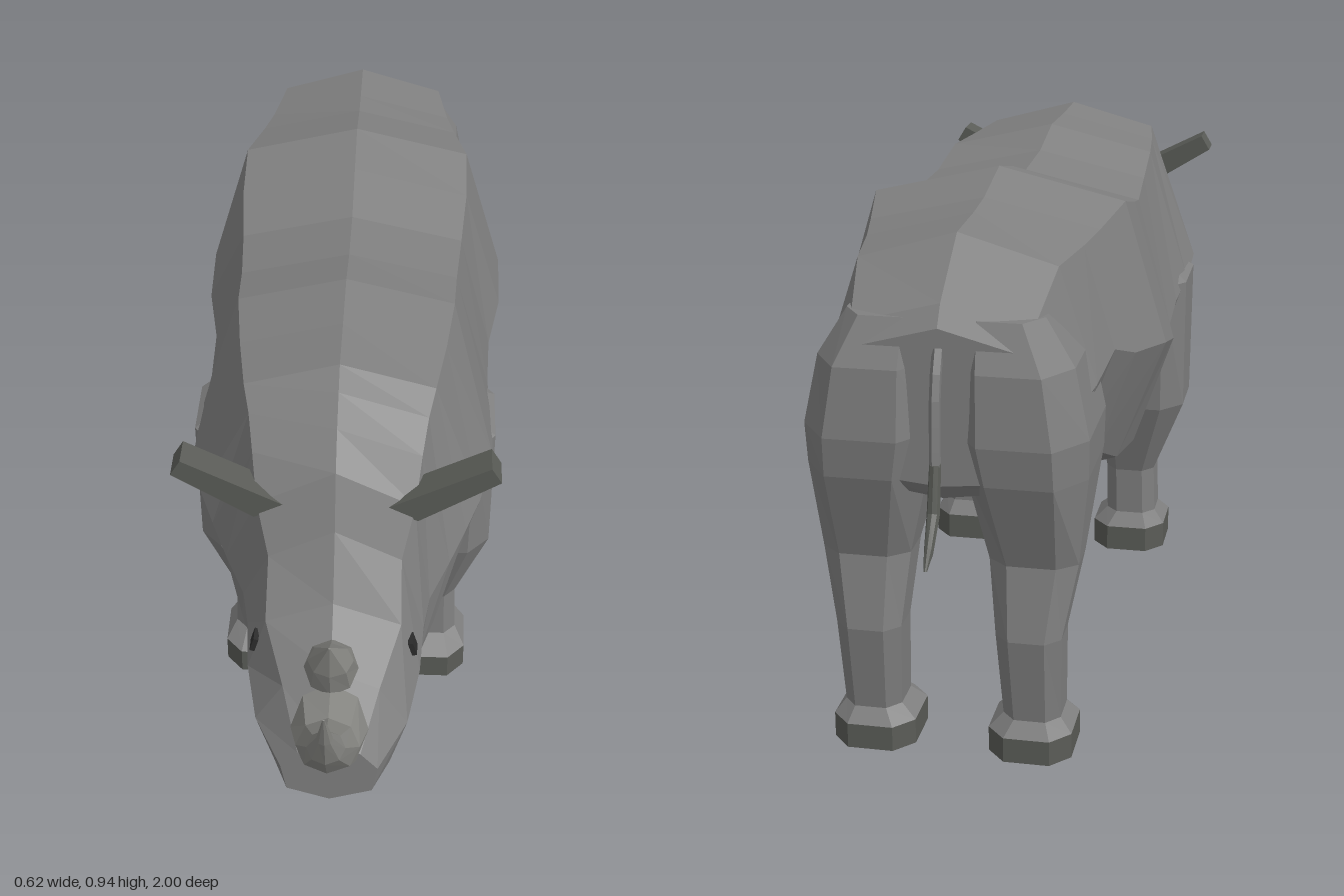
import * as THREE from 'three';

const mat = (name, color) => {
  const m = new THREE.MeshStandardMaterial({ color });
  m.name = name;
  m.flatShading = true;
  return m;
};

// Skin a list of equal-length rings of [x, y, z] points and cap both ends
function loft(rings) {
  const pos = [], n = rings[0].length, last = rings[rings.length - 1];
  const tri = (a, b, c) => pos.push(...a, ...b, ...c);
  for (let i = 0; i < rings.length - 1; i++) {
    for (let j = 0; j < n; j++) {
      const k = (j + 1) % n, p = rings[i], q = rings[i + 1];
      tri(p[j], q[j], q[k]);
      tri(p[j], q[k], p[k]);
    }
  }
  for (let j = 1; j < n - 1; j++) {
    tri(rings[0][0], rings[0][j], rings[0][j + 1]);
    tri(last[0], last[j + 1], last[j]);
  }
  const g = new THREE.BufferGeometry();
  g.setAttribute('position', new THREE.Float32BufferAttribute(pos, 3));
  g.computeVertexNormals();
  return g;
}

// Chamfered rectangular ring for legs and hooves
const K = 0.55;
const OCT = [[1, K], [K, 1], [-K, 1], [-1, K], [-1, -K], [-K, -1], [K, -1], [1, -K]];
const legRing = (side, [y, x0, x1, z0, z1]) => OCT.map(([u, v]) => [
  side * (x0 + x1) / 2 + u * (x1 - x0) / 2, y, (z0 + z1) / 2 + v * (z1 - z0) / 2]);

// Body section: z, top y, shoulder x/y, flank x/y, lower flank x/y, belly y
const bodyRing = ([z, t, sx, sy, mx, my, lx, ly, b]) => [
  [0, t, z], [sx, sy, z], [mx, my, z], [lx, ly, z],
  [0, b, z], [-lx, ly, z], [-mx, my, z], [-sx, sy, z]];

// Horn section: front edge y/z, rear edge y/z, half width
const hornRing = ([fy, fz, ry, rz, w]) => Array.from({ length: 8 }, (_, i) => {
  const a = i * Math.PI / 4, s = Math.sin(a);
  return [w * Math.cos(a), (fy + ry) / 2 + s * (fy - ry) / 2, (fz + rz) / 2 + s * (fz - rz) / 2];
});

export function createModel() {
  const group = new THREE.Group();
  const skin = mat('grey skin', 0x808080);
  const hornMat = mat('horn', 0x868682);
  const dark = mat('dark hoof and ear', 0x5a5c57);
  const black = mat('eye', 0x2c2c2c);
  const add = (name, geo, m) => {
    const mesh = new THREE.Mesh(geo, m);
    mesh.name = name;
    group.add(mesh);
    return mesh;
  };

  // Trunk, from rump to neck
  const trunk = [
    [-0.89, 0.79, 0.13, 0.755, 0.18, 0.62, 0.10, 0.53, 0.52],
    [-0.865, 0.825, 0.15, 0.785, 0.20, 0.62, 0.14, 0.51, 0.49],
    [-0.74, 0.91, 0.17, 0.86, 0.235, 0.66, 0.18, 0.50, 0.47],
    [-0.61, 0.912, 0.19, 0.862, 0.245, 0.68, 0.19, 0.53, 0.50],
    [-0.53, 0.918, 0.205, 0.87, 0.27, 0.65, 0.20, 0.46, 0.41],
    [-0.40, 0.945, 0.23, 0.89, 0.308, 0.63, 0.22, 0.40, 0.33],
    [-0.28, 0.918, 0.23, 0.86, 0.308, 0.60, 0.235, 0.39, 0.30],
    [-0.15, 0.882, 0.22, 0.832, 0.285, 0.585, 0.22, 0.39, 0.305],
    [0.00, 0.888, 0.21, 0.84, 0.28, 0.59, 0.21, 0.39, 0.318],
    [0.13, 0.915, 0.205, 0.865, 0.287, 0.60, 0.21, 0.39, 0.325],
    [0.27, 0.91, 0.19, 0.862, 0.285, 0.615, 0.20, 0.41, 0.34],
    [0.40, 0.91, 0.172, 0.863, 0.26, 0.61, 0.20, 0.425, 0.36],
    [0.45, 0.885, 0.16, 0.835, 0.235, 0.58, 0.19, 0.425, 0.40],
  ];
  add('body', loft(trunk.map(bodyRing)), skin);

  // Head, from neck to muzzle
  const head = [
    trunk[12],
    [0.51, 0.85, 0.15, 0.795, 0.205, 0.55, 0.18, 0.405, 0.36],
    [0.565, 0.795, 0.14, 0.725, 0.17, 0.51, 0.155, 0.375, 0.31],
    [0.61, 0.70, 0.118, 0.64, 0.16, 0.48, 0.145, 0.35, 0.29],
    [0.68, 0.595, 0.12, 0.55, 0.155, 0.44, 0.125, 0.32, 0.275],
    [0.77, 0.52, 0.085, 0.48, 0.135, 0.40, 0.105, 0.30, 0.26],
    [0.86, 0.43, 0.055, 0.41, 0.085, 0.375, 0.075, 0.32, 0.295],
  ];
  add('head', loft(head.map(bodyRing)), skin);

  // Horns
  add('frontHorn', loft([
    [0.385, 0.88, 0.50, 0.78, 0.068], [0.43, 0.925, 0.497, 0.86, 0.055],
    [0.495, 0.966, 0.53, 0.92, 0.033], [0.56, 0.985, 0.575, 0.963, 0.014],
    [0.634, 1.0, 0.635, 0.998, 0.002],
  ].map(hornRing)), hornMat);
  add('rearHorn', loft([
    [0.49, 0.80, 0.55, 0.72, 0.048], [0.545, 0.812, 0.57, 0.752, 0.04],
    [0.615, 0.815, 0.616, 0.812, 0.002],
  ].map(hornRing)), hornMat);

  // Legs and hooves as stacked rings: y, inner x, outer x, back z, front z
  const legs = {
    front: {
      hoof: [[0, 0.10, 0.25, 0.072, 0.243], [0.052, 0.10, 0.25, 0.072, 0.243]],
      leg: [[0.052, 0.10, 0.25, 0.072, 0.243], [0.082, 0.128, 0.23, 0.088, 0.20],
        [0.18, 0.127, 0.227, 0.085, 0.195], [0.34, 0.10, 0.29, 0.03, 0.24],
        [0.61, 0.11, 0.292, 0.01, 0.258], [0.64, 0.15, 0.25, 0.06, 0.22]],
    },
    rear: {
      hoof: [[0.01, 0.065, 0.21, -0.866, -0.705], [0.055, 0.065, 0.21, -0.866, -0.705]],
      leg: [[0.055, 0.065, 0.21, -0.866, -0.705], [0.082, 0.09, 0.19, -0.848, -0.735],
        [0.24, 0.082, 0.195, -0.872, -0.757], [0.37, 0.068, 0.22, -0.852, -0.725],
        [0.53, 0.03, 0.238, -0.905, -0.61], [0.60, 0.015, 0.24, -0.915, -0.605],
        [0.72, 0.02, 0.215, -0.905, -0.61], [0.80, 0.03, 0.165, -0.872, -0.68]],
    },
  };
  for (const side of [1, -1]) {
    const label = side > 0 ? 'left' : 'right';
    for (const [place, part] of Object.entries(legs)) {
      const name = label + place[0].toUpperCase() + place.slice(1);
      add(name + 'Leg', loft(part.leg.map(r => legRing(side, r))), skin);
      add(name + 'Hoof', loft(part.hoof.map(r => legRing(side, r))), dark);
    }

    // Ear slab, pointing up and outward
    const ear = new THREE.Shape(
      [[0.085, 0.725], [0.145, 0.70], [0.288, 0.79], [0.27, 0.82]]
        .map(([x, y]) => new THREE.Vector2(side * x, y)));
    const earGeo = new THREE.ExtrudeGeometry(ear, { depth: 0.058, bevelEnabled: false });
    earGeo.translate(0, 0, 0.516);
    add(label + 'Ear', earGeo, dark);

    // Eye plate on the cheek
    const eye = add(label + 'Eye', new THREE.BoxGeometry(0.009, 0.028, 0.03), black);
    eye.position.set(side * 0.141, 0.50, 0.675);
    eye.rotation.z = side * 0.29;
  }

  // Tail and its tuft
  const curve = pts => new THREE.CatmullRomCurve3(pts.map(([y, z]) => new THREE.Vector3(0, y, z)));
  add('tail', new THREE.TubeGeometry(
    curve([[0.755, -0.885], [0.70, -0.907], [0.63, -0.915], [0.55, -0.918]]), 5, 0.01, 5), skin);
  add('tailTuft', loft([
    [0.415, -0.992, 0.417, -0.998, 0.003], [0.43, -0.962, 0.45, -0.978, 0.008],
    [0.485, -0.926, 0.495, -0.945, 0.011], [0.57, -0.905, 0.57, -0.928, 0.01],
  ].map(([a, b, c, d, w]) => hornRing([a, b, c, d, w]))), dark);
  return group;
}
